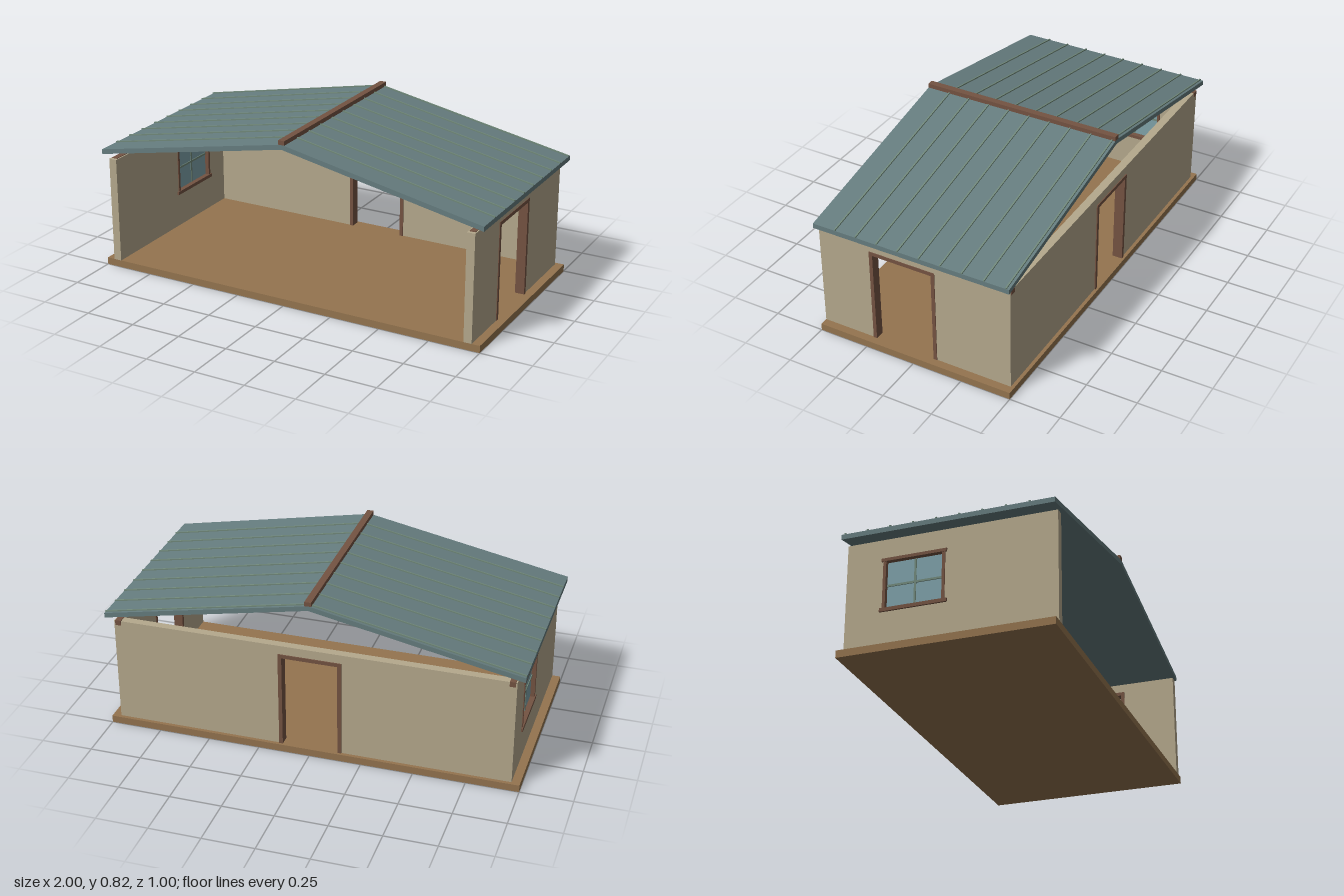
import * as THREE from 'three';

const mat = (name, color, side = THREE.FrontSide) => {
  const m = new THREE.MeshStandardMaterial({ color, side });
  m.name = name;
  return m;
};

export function createModel() {
  const model = new THREE.Group();
  model.name = 'cabin';
  const wallMat = mat('plaster', 0xb5a98d);
  const floorMat = mat('floorboard', 0x94744f);
  const woodMat = mat('dark wood', 0x745342);
  const roofMat = mat('roof metal', 0x667d7f);
  const seamMat = mat('roof seam', 0x71897b);
  const glassMat = mat('glass', 0x7fa2aa);

  const FLOOR = 0.035, TOP = 0.56, THICK = 0.04;

  const add = (parent, name, geo, material) => {
    const m = new THREE.Mesh(geo, material);
    m.name = name;
    parent.add(m);
    return m;
  };
  // Box given by its minimum and maximum along each axis
  const box = (parent, name, material, x0, x1, y0, y1, z0, z1) => {
    const m = add(parent, name, new THREE.BoxGeometry(x1 - x0, y1 - y0, z1 - z0), material);
    m.position.set((x0 + x1) / 2, (y0 + y1) / 2, (z0 + z1) / 2);
    return m;
  };
  const polygon = (pts) => new THREE.Shape(pts.map((p) => new THREE.Vector2(...p)));
  const extrude = (shape, depth) => new THREE.ExtrudeGeometry(shape, { depth, bevelEnabled: false });

  // Wall outline from a to b, with an optional doorway d = [from, to, top]
  const wallShape = (a, b, d) => polygon([
    [a, FLOOR],
    ...(d ? [[d[0], FLOOR], [d[0], d[2]], [d[1], d[2]], [d[1], FLOOR]] : []),
    [b, FLOOR], [b, TOP], [a, TOP],
  ]);
  // Two jambs and a lintel around a doorway, outer edges a to b
  const doorFrame = (parent, name, a, b, z0, z1) => {
    const g = new THREE.Group();
    g.name = name;
    const w = 0.018, top = 0.517;
    box(g, 'jamb', woodMat, a, a + w, FLOOR, top, z0, z1);
    box(g, 'jamb', woodMat, b - w, b, FLOOR, top, z0, z1);
    box(g, 'lintel', woodMat, a + w, b - w, top - w, top, z0, z1);
    parent.add(g);
  };
  // Side group: local x runs along world z, local z runs toward world -x
  const side = (name, x) => {
    const g = new THREE.Group();
    g.name = name;
    g.rotation.y = -Math.PI / 2;
    g.position.x = x;
    model.add(g);
    return g;
  };

  // Floor slab
  box(model, 'floor', floorMat, -1, 1, 0, FLOOR, -0.5, 0.5);

  // Back wall with doorway
  const back = add(model, 'backWall', extrude(wallShape(-0.92, 0.92, [-0.14, 0.14, 0.505]), THICK), wallMat);
  back.position.z = -0.483;
  doorFrame(model, 'backDoorFrame', -0.152, 0.152, -0.488, -0.438);

  // Right-hand wall with doorway
  const doorSide = side('doorSide', 0.96);
  add(doorSide, 'doorSideWall', extrude(wallShape(-0.483, 0.5, [-0.094, 0.225, 0.505]), THICK), wallMat);
  doorFrame(doorSide, 'sideDoorFrame', -0.104, 0.235, -0.003, THICK + 0.003);

  // Opposite wall with window
  const winSide = side('windowSide', -0.92);
  const winWall = wallShape(-0.483, 0.5);
  winWall.holes.push(new THREE.Path([
    [-0.3, 0.215], [-0.3, 0.455], [-0.024, 0.455], [-0.024, 0.215],
  ].map((p) => new THREE.Vector2(...p))));
  add(winSide, 'windowSideWall', extrude(winWall, THICK), wallMat);
  const win = new THREE.Group();
  win.name = 'window';
  winSide.add(win);
  const z0 = -0.004, z1 = THICK + 0.004;
  box(win, 'windowJamb', woodMat, -0.308, -0.294, 0.222, 0.45, z0, z1);
  box(win, 'windowJamb', woodMat, -0.03, -0.016, 0.222, 0.45, z0, z1);
  box(win, 'windowHeader', woodMat, -0.316, -0.008, 0.45, 0.465, z0 - 0.002, z1 + 0.002);
  box(win, 'windowSill', woodMat, -0.319, -0.005, 0.205, 0.222, z0 - 0.004, z1 + 0.004);
  box(win, 'pane', glassMat, -0.294, -0.03, 0.222, 0.45, 0.017, 0.023);
  box(win, 'glazingBar', seamMat, -0.294, -0.03, 0.331, 0.341, 0.013, 0.027);
  box(win, 'glazingBar', seamMat, -0.167, -0.157, 0.222, 0.45, 0.014, 0.026);

  // Wall plates set into the tops of the side walls
  for (const s of [-1, 1]) {
    const plate = box(model, 'wallPlate', woodMat, -0.014, 0.014, 0.538, 0.563, -0.486, 0.484);
    plate.position.x = s * 0.94;
  }

  // Gable roof
  const roof = add(model, 'roof', extrude(polygon([
    [-1, 0.577], [0, 0.774], [1, 0.577], [1, 0.601], [0, 0.798], [-1, 0.601],
  ]), 1), roofMat);
  roof.position.z = -0.5;

  // Standing seams running down both slopes
  const seamGeo = extrude(polygon([
    [-1, 0.6], [0, 0.797], [1, 0.6], [1, 0.607], [0, 0.804], [-1, 0.607],
  ]), 0.007);
  for (let i = 0; i < 9; i++) {
    add(model, 'roofSeam', seamGeo, seamMat).position.z = 0.3805 - i * 0.1085;
  }

  // Ridge cap
  box(model, 'ridgeCap', woodMat, -0.016, 0.016, 0.796, 0.817, -0.5, 0.5);

  return model;
}
